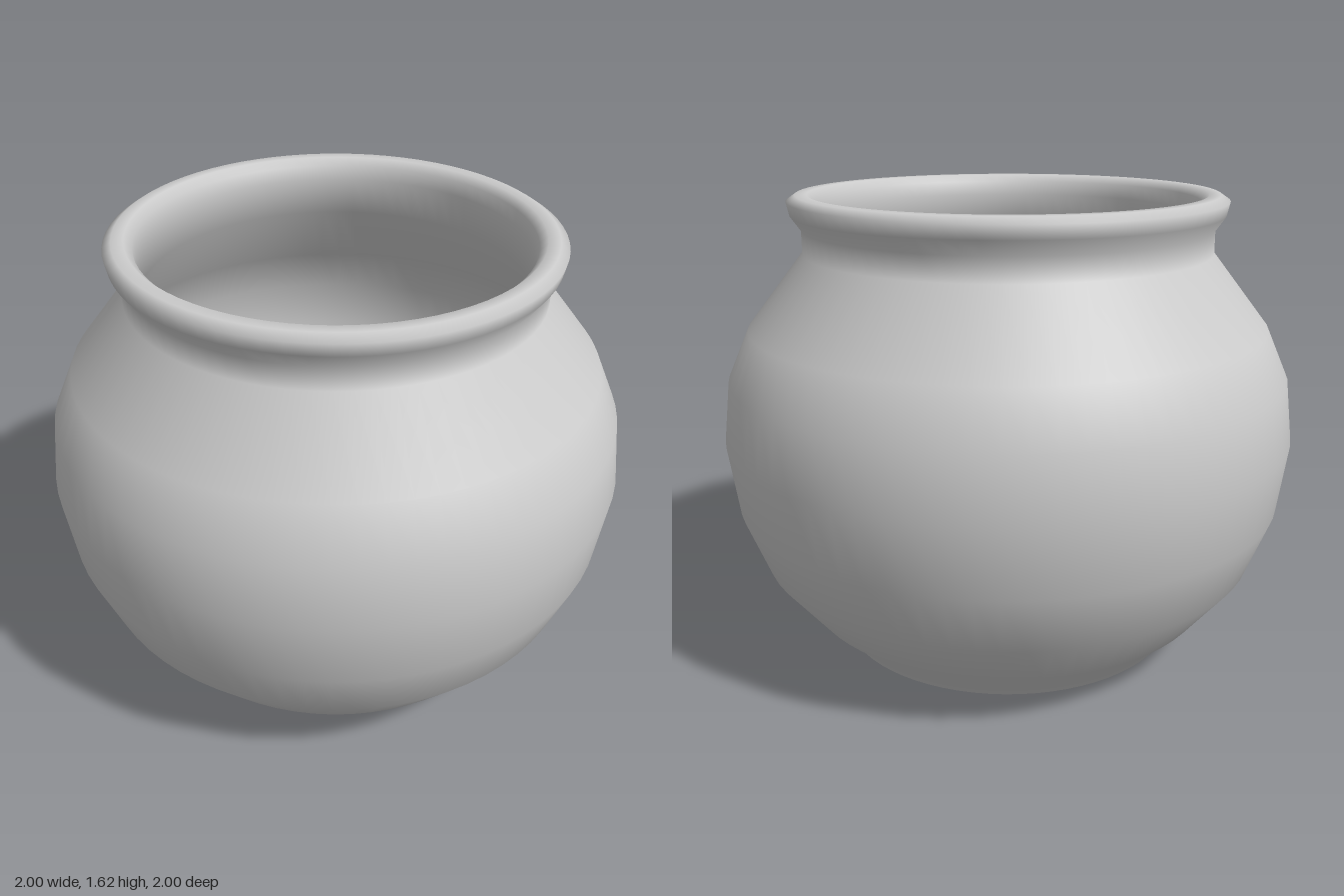
import * as THREE from 'three';

export function createModel() {
  const group = new THREE.Group();
  group.name = 'roundPot';

  const clay = new THREE.MeshStandardMaterial({ color: 0xcccccc });
  clay.name = 'light grey clay';

  // Revolves a [radius, height] profile around the y axis
  const turn = (name, profile) => {
    const points = profile.map(([r, y]) => new THREE.Vector2(r, y));
    const mesh = new THREE.Mesh(new THREE.LatheGeometry(points, 72), clay);
    mesh.name = name;
    group.add(mesh);
  };

  // One closed wall: underside, foot, belly, neck, rolled rim, then back down the inside
  turn('potBody', [
    [0, 0], [0.5, 0], [0.56, 0],
    [0.61, 0.03], [0.635, 0.085],
    [0.74, 0.16], [0.885, 0.34], [0.967, 0.55], [1, 0.79], [0.975, 1.0], [0.9, 1.17],
    [0.705, 1.42], [0.705, 1.5],
    [0.74, 1.55], [0.75, 1.595], [0.72, 1.615], [0.68, 1.615], [0.655, 1.59],
    [0.648, 1.54], [0.65, 1.41],
    [0.84, 1.15], [0.915, 0.98], [0.94, 0.79], [0.91, 0.57], [0.83, 0.37],
    [0.69, 0.21], [0.5, 0.12], [0.25, 0.09], [0, 0.08],
  ]);

  return group;
}
